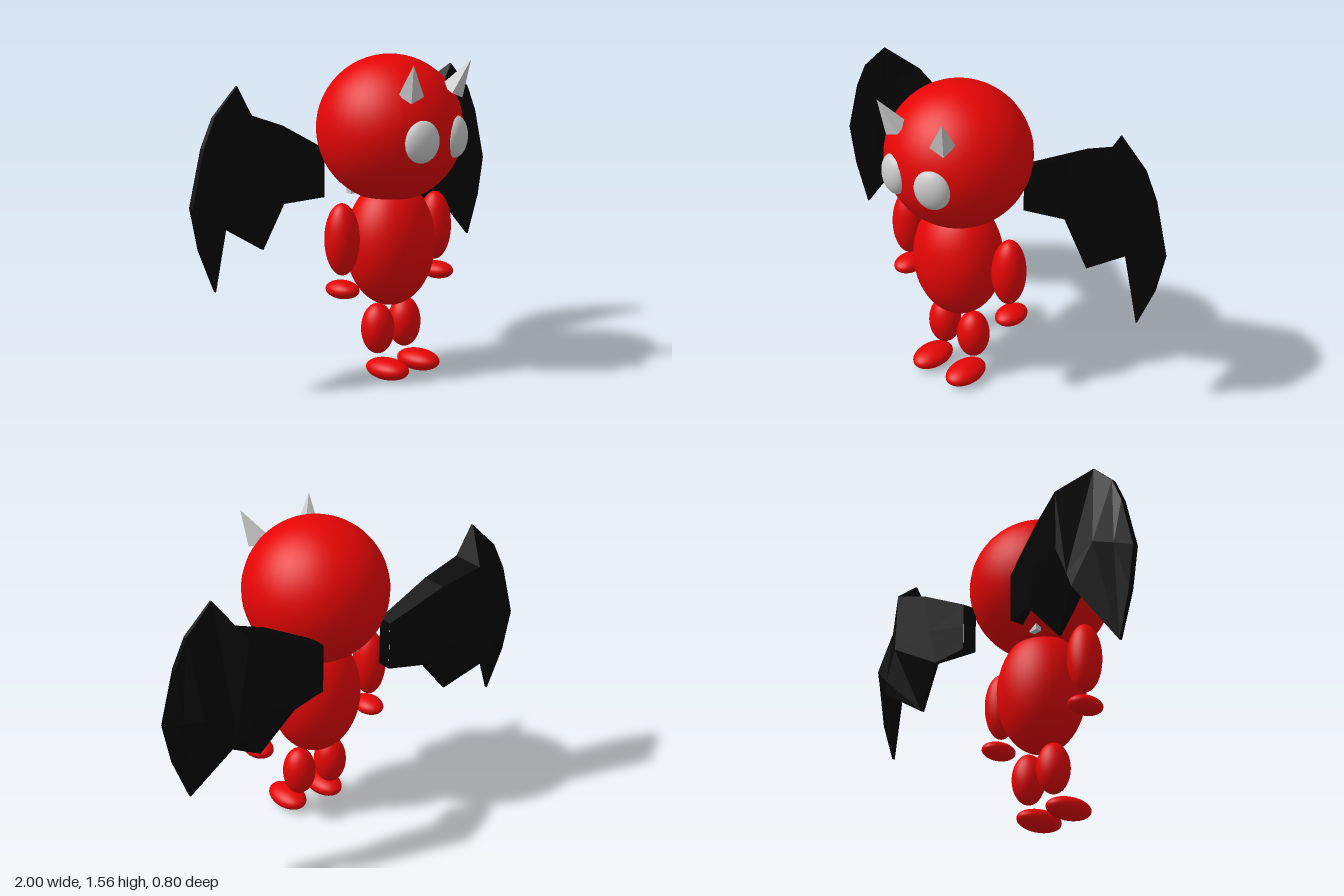
import * as THREE from 'three';

const red = new THREE.MeshStandardMaterial({ color: 0xe60505 });
const grey = new THREE.MeshStandardMaterial({ color: 0xcccccc });
const hornGrey = new THREE.MeshStandardMaterial({ color: 0xcccccc, flatShading: true });
const black = new THREE.MeshStandardMaterial({ color: 0x040404, flatShading: true });

// Smooth ellipsoid from centre and radii, optionally turned about y
function ellipsoid(name, [x, y, z], [rx, ry, rz], material = red, yaw = 0) {
  const geometry = new THREE.SphereGeometry(1, 40, 28);
  geometry.scale(rx, ry, rz);
  const mesh = new THREE.Mesh(geometry, material);
  mesh.name = name;
  mesh.position.set(x, y, z);
  mesh.rotation.y = yaw;
  return mesh;
}

// Four-sided spike leaning from its base centre to its tip
function horn(name, side) {
  const base = new THREE.Vector3(side * 0.14, 1.39, 0.295);
  const tip = new THREE.Vector3(side * 0.197, 1.54, 0.363);
  const axis = tip.clone().sub(base);
  const geometry = new THREE.ConeGeometry(0.059, axis.length(), 4);
  geometry.rotateY(Math.PI / 4);
  geometry.translate(0, axis.length() / 2, 0);
  const mesh = new THREE.Mesh(geometry, hornGrey);
  mesh.name = name;
  mesh.position.copy(base);
  mesh.quaternion.setFromUnitVectors(new THREE.Vector3(0, 1, 0), axis.normalize());
  return mesh;
}

// Wing edges from root to outer point: x, y, front z, back z
const upperEdge = [
  [0.19, 1.1, -0.225, -0.3], [0.457, 1.238, -0.225, -0.355], [0.645, 1.303, -0.225, -0.395],
  [0.73, 1.445, -0.225, -0.235], [0.866, 1.313, -0.225, -0.245], [0.93, 1.18, -0.225, -0.25],
  [1, 0.92, -0.225, -0.253],
];
const lowerEdge = [
  [0.19, 0.862, -0.225, -0.297], [0.372, 0.842, -0.315, -0.333], [0.54, 0.65, -0.28, -0.298],
  [0.738, 0.785, -0.31, -0.383], [0.88, 0.516, -0.225, -0.24], [0.96, 0.72, -0.225, -0.25],
  [1, 0.92, -0.225, -0.253],
];
// Ridge along the middle of the back: x, y, z
const ridge = [
  [0.19, 0.98, -0.3], [0.42, 1.03, -0.345], [0.65, 1.0, -0.397], [0.72, 0.85, -0.395],
  [0.86, 0.96, -0.362], [0.935, 0.94, -0.305], [1, 0.92, -0.253],
];

// Solid wing: shallow front, domed back, walls along the outline
function wing(name, side) {
  const positions = [];
  const tri = (a, b, c) => {
    for (const p of side > 0 ? [a, b, c] : [a, c, b]) positions.push(side * p[0], p[1], p[2]);
  };
  const quad = (a, b, c, d) => { tri(a, b, c); tri(a, c, d); };
  const front = ([x, y, z]) => [x, y, z];
  const back = ([x, y, , z]) => [x, y, z];
  const last = ridge.length - 1;
  for (let i = 0; i < last; i++) {
    const [ft0, ft1] = [front(upperEdge[i]), front(upperEdge[i + 1])];
    const [fb0, fb1] = [front(lowerEdge[i]), front(lowerEdge[i + 1])];
    const [bt0, bt1] = [back(upperEdge[i]), back(upperEdge[i + 1])];
    const [bb0, bb1] = [back(lowerEdge[i]), back(lowerEdge[i + 1])];
    const [m0, m1] = [ridge[i], ridge[i + 1]];
    tri(ft0, fb0, fb1);
    tri(bt0, m1, m0);
    tri(m0, m1, bb0);
    if (i < last - 1) {
      tri(ft0, fb1, ft1);
      tri(bt0, bt1, m1);
      tri(m1, bb1, bb0);
    } else {
      tri(bt0, bt1, m0);
      tri(m0, bb1, bb0);
    }
    quad(ft0, ft1, bt1, bt0);
    quad(fb1, fb0, bb0, bb1);
  }
  const [top, bottom] = [upperEdge[0], lowerEdge[0]];
  quad(front(bottom), front(top), back(top), back(bottom));
  const geometry = new THREE.BufferGeometry();
  geometry.setAttribute('position', new THREE.Float32BufferAttribute(positions, 3));
  geometry.computeVertexNormals();
  const mesh = new THREE.Mesh(geometry, black);
  mesh.name = name;
  return mesh;
}

export function createModel() {
  const model = new THREE.Group();
  model.name = 'wingedImp';

  // Head and torso
  model.add(
    ellipsoid('head', [-0.001, 1.206, 0.03], [0.352, 0.352, 0.352]),
    ellipsoid('body', [-0.001, 0.649, 0.034], [0.23, 0.308, 0.207]),
  );

  // Small stub at the nape, low on the right
  const stub = new THREE.Mesh(new THREE.BoxGeometry(0.05, 0.035, 0.03), grey);
  stub.name = 'napeStub';
  stub.position.set(-0.124, 0.908, -0.1);
  model.add(stub);

  // Limbs, the left arm hanging slightly lower than the right
  model.add(
    ellipsoid('leftArm', [0.319, 0.685, 0.033], [0.083, 0.172, 0.083]),
    ellipsoid('rightArm', [-0.328, 0.714, 0.033], [0.083, 0.172, 0.083]),
    ellipsoid('leftHand', [0.339, 0.454, 0.034], [0.067, 0.043, 0.092]),
    ellipsoid('rightHand', [-0.328, 0.474, 0.034], [0.067, 0.043, 0.092]),
    ellipsoid('leftLeg', [0.098, 0.234, 0.034], [0.082, 0.125, 0.08]),
    ellipsoid('rightLeg', [-0.09, 0.236, 0.034], [0.082, 0.125, 0.08]),
    ellipsoid('leftFoot', [0.117, 0.051, 0.112], [0.079, 0.051, 0.122]),
    ellipsoid('rightFoot', [-0.104, 0.051, 0.112], [0.079, 0.051, 0.122]),
  );

  // Paired eyes, horns and wings
  for (const [label, side] of [['left', 1], ['right', -1]]) {
    model.add(
      ellipsoid(label + 'Eye', [side * 0.116, 1.184, 0.338], [0.09, 0.101, 0.056], grey, side * 0.33),
      horn(label + 'Horn', side),
      wing(label + 'Wing', side),
    );
  }
  return model;
}
